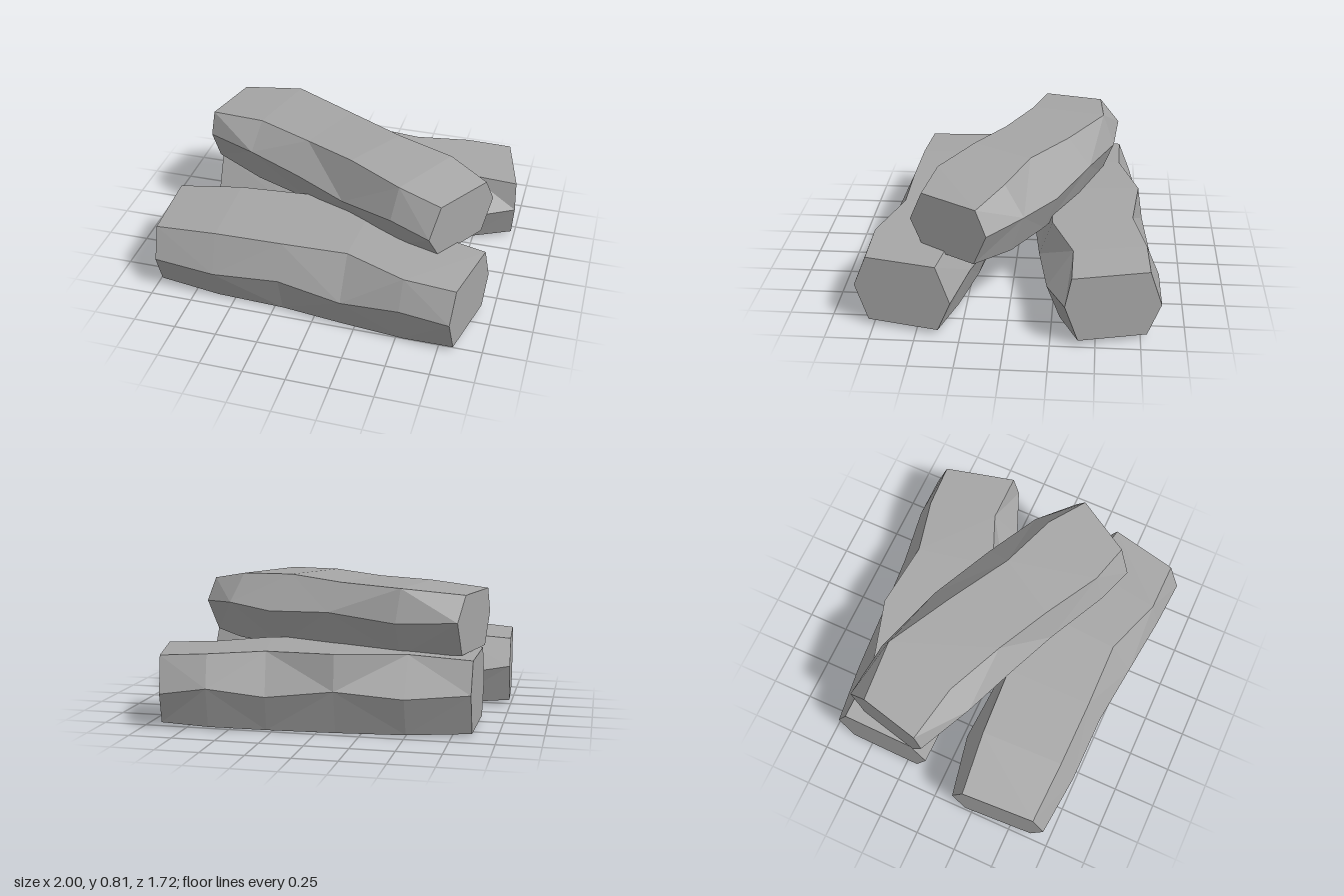
import * as THREE from 'three';

const stone = new THREE.MeshStandardMaterial({ color: 0xa6a6a6 });
stone.name = 'grey';
stone.flatShading = true;

// Each station along a log:
// [x at back, x at front, z back, z top back, z top front, z front, y top, y bottom, y mid back, y mid front]
const FRONT = [
  [-1.0, -0.97, 0.13, 0.20, 0.64, 0.71, 0.42, 0.035, 0.26, 0.23],
  [-0.62, -0.60, 0.05, 0.16, 0.655, 0.745, 0.45, 0.015, 0.20, 0.22],
  [-0.20, -0.20, 0.08, 0.14, 0.66, 0.75, 0.46, 0.005, 0.24, 0.255],
  [0.22, 0.18, 0.14, 0.22, 0.655, 0.79, 0.465, 0.0, 0.20, 0.21],
  [0.62, 0.53, 0.22, 0.32, 0.775, 0.835, 0.445, 0.01, 0.25, 0.26],
  [0.945, 0.82, 0.30, 0.38, 0.78, 0.855, 0.425, 0.03, 0.21, 0.24],
];
const BACK = [
  [-0.86, -0.87, -0.70, -0.63, -0.20, -0.11, 0.43, 0.02, 0.25, 0.23],
  [-0.50, -0.50, -0.75, -0.625, -0.20, -0.10, 0.45, 0.005, 0.22, 0.25],
  [-0.11, -0.06, -0.77, -0.74, -0.21, -0.11, 0.455, 0.0, 0.25, 0.20],
  [0.27, 0.40, -0.81, -0.70, -0.235, -0.16, 0.45, 0.005, 0.21, 0.25],
  [0.60, 0.73, -0.85, -0.775, -0.365, -0.22, 0.435, 0.015, 0.25, 0.22],
  [0.87, 1.0, -0.86, -0.79, -0.365, -0.33, 0.42, 0.03, 0.21, 0.25],
];
const TOP = [
  [-0.77, -0.895, -0.615, -0.495, -0.14, -0.10, 0.77, 0.44, 0.63, 0.63],
  [-0.42, -0.58, -0.585, -0.515, -0.07, 0.055, 0.80, 0.415, 0.61, 0.645],
  [0.0, -0.25, -0.44, -0.31, 0.08, 0.18, 0.80, 0.405, 0.64, 0.61],
  [0.40, 0.06, -0.26, -0.10, 0.24, 0.30, 0.815, 0.40, 0.61, 0.56],
  [0.70, 0.39, -0.09, 0.02, 0.42, 0.48, 0.80, 0.405, 0.63, 0.61],
  [0.91, 0.63, 0.10, 0.16, 0.48, 0.555, 0.75, 0.42, 0.61, 0.57],
];

// Six-sided cross-section, running round from the top back edge
function section([xb, xf, zb, ztb, ztf, zf, yt, yb, ymb, ymf]) {
  const inset = 0.075;
  return [[yt, ztb], [yt, ztf], [ymf, zf], [yb, zf - inset], [yb, zb + inset], [ymb, zb]]
    .map(([y, z]) => [xb + (xf - xb) * (z - zb) / (zf - zb), y, z]);
}

function log(name, stations) {
  const rings = stations.map(section);
  const pos = [];
  const tri = (a, b, c) => pos.push(...a, ...b, ...c);
  // Faceted sides
  for (let i = 0; i < rings.length - 1; i++) {
    for (let k = 0; k < 6; k++) {
      const n = (k + 1) % 6;
      const a = rings[i][k], b = rings[i][n], c = rings[i + 1][n], d = rings[i + 1][k];
      if ((i + k) % 2) {
        tri(a, b, c);
        tri(a, c, d);
      } else {
        tri(a, b, d);
        tri(b, c, d);
      }
    }
  }
  // Cut ends
  const first = rings[0], last = rings[rings.length - 1];
  for (let k = 1; k < 5; k++) {
    tri(first[0], first[k + 1], first[k]);
    tri(last[0], last[k], last[k + 1]);
  }
  const geo = new THREE.BufferGeometry();
  geo.setAttribute('position', new THREE.Float32BufferAttribute(pos, 3));
  geo.computeVertexNormals();
  const mesh = new THREE.Mesh(geo, stone);
  mesh.name = name;
  return mesh;
}

export function createModel() {
  const group = new THREE.Group();
  group.name = 'logPile';
  group.add(log('frontLog', FRONT), log('backLog', BACK), log('topLog', TOP));
  return group;
}
